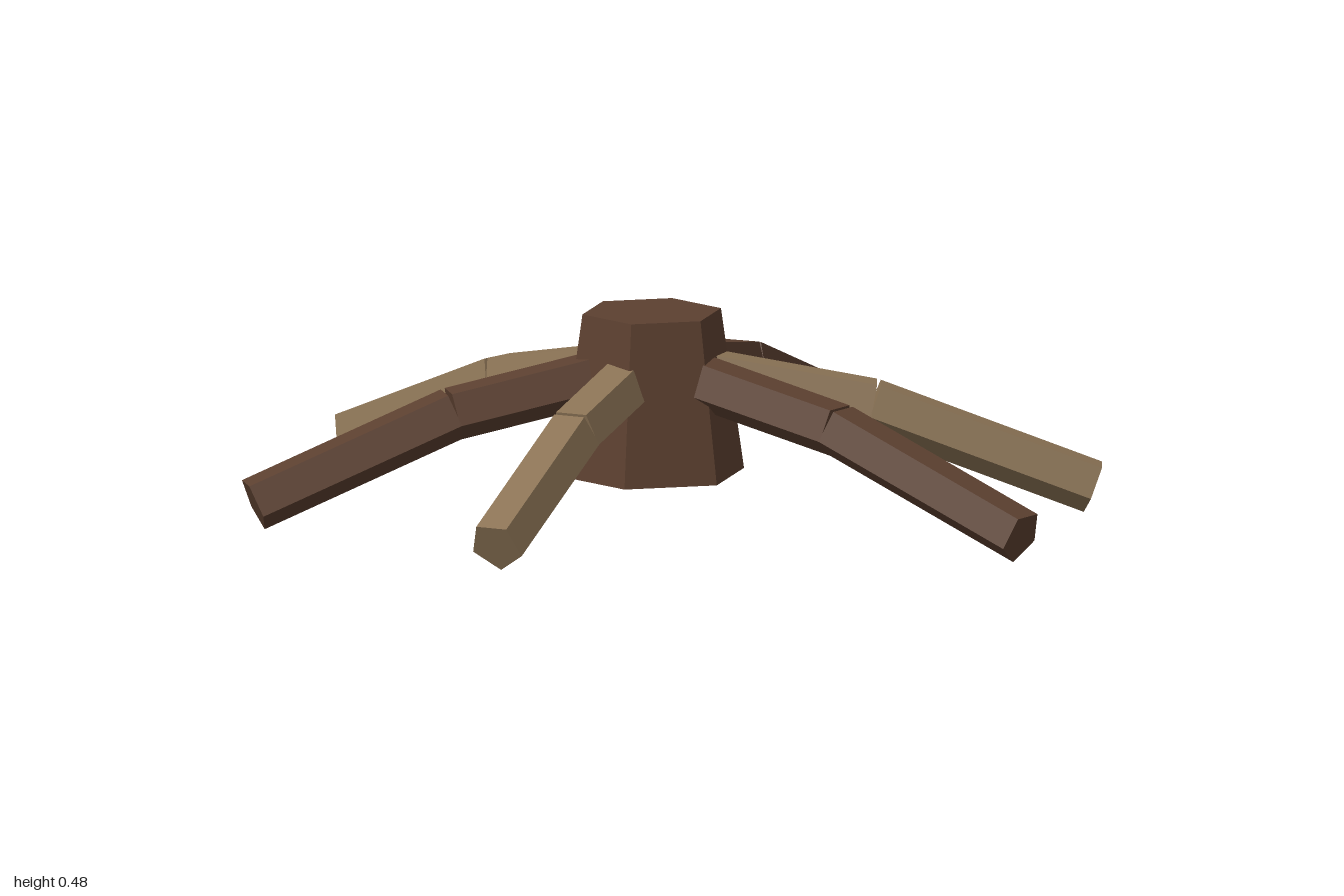
import * as THREE from 'three';

export function createModel() {
  const model = new THREE.Group();
  const material = (color) => new THREE.MeshStandardMaterial({ color, flatShading: true });
  const darkBark = material(0x5c4030);
  const lightBark = material(0x8b7355);
  const CX = -0.035, CZ = 0.03, RADIUS = 0.066;

  // Hexagonal stump, corners on the x axis
  const stump = new THREE.Mesh(new THREE.CylinderGeometry(0.165, 0.22, 0.38, 6), darkBark);
  stump.name = 'stump';
  stump.rotation.y = Math.PI / 6;
  stump.position.set(CX, 0.29, CZ);
  model.add(stump);

  // Five-sided bar from a to b with one ridge facing down
  function rootSegment(name, a, b, mat) {
    const along = b.clone().sub(a);
    const mesh = new THREE.Mesh(new THREE.CylinderGeometry(RADIUS, RADIUS, along.length(), 5), mat);
    along.normalize();
    const down = new THREE.Vector3(0, -1, 0).addScaledVector(along, along.y).normalize();
    const side = along.clone().cross(down);
    mesh.quaternion.setFromRotationMatrix(new THREE.Matrix4().makeBasis(side, along, down));
    mesh.position.copy(a).add(b).multiplyScalar(0.5);
    mesh.name = name;
    return mesh;
  }

  // Bent roots: [direction x, direction z, reach], bending halfway out
  const roots = [
    [-1, -0.01, 0.945],
    [-0.54, -0.785, 0.935],
    [0.645, -0.872, 1.07],
    [1, 0.228, 1.025],
    [0.7, 0.795, 1.05],
    [-0.53, 0.635, 0.81],
  ];
  roots.forEach(([dx, dz, reach], i) => {
    const len = Math.hypot(dx, dz);
    const at = (r, y) => new THREE.Vector3(CX + (dx / len) * r, y, CZ + (dz / len) * r);
    const bark = i % 2 ? lightBark : darkBark;
    const start = at(0.1, 0.337), bend = at(reach / 2, 0.26), tip = at(reach, 0.066);
    const root = new THREE.Group();
    root.name = 'root' + (i + 1);
    root.add(rootSegment('innerRoot', start, bend, bark), rootSegment('outerRoot', bend, tip, bark));
    model.add(root);
  });

  return model;
}
